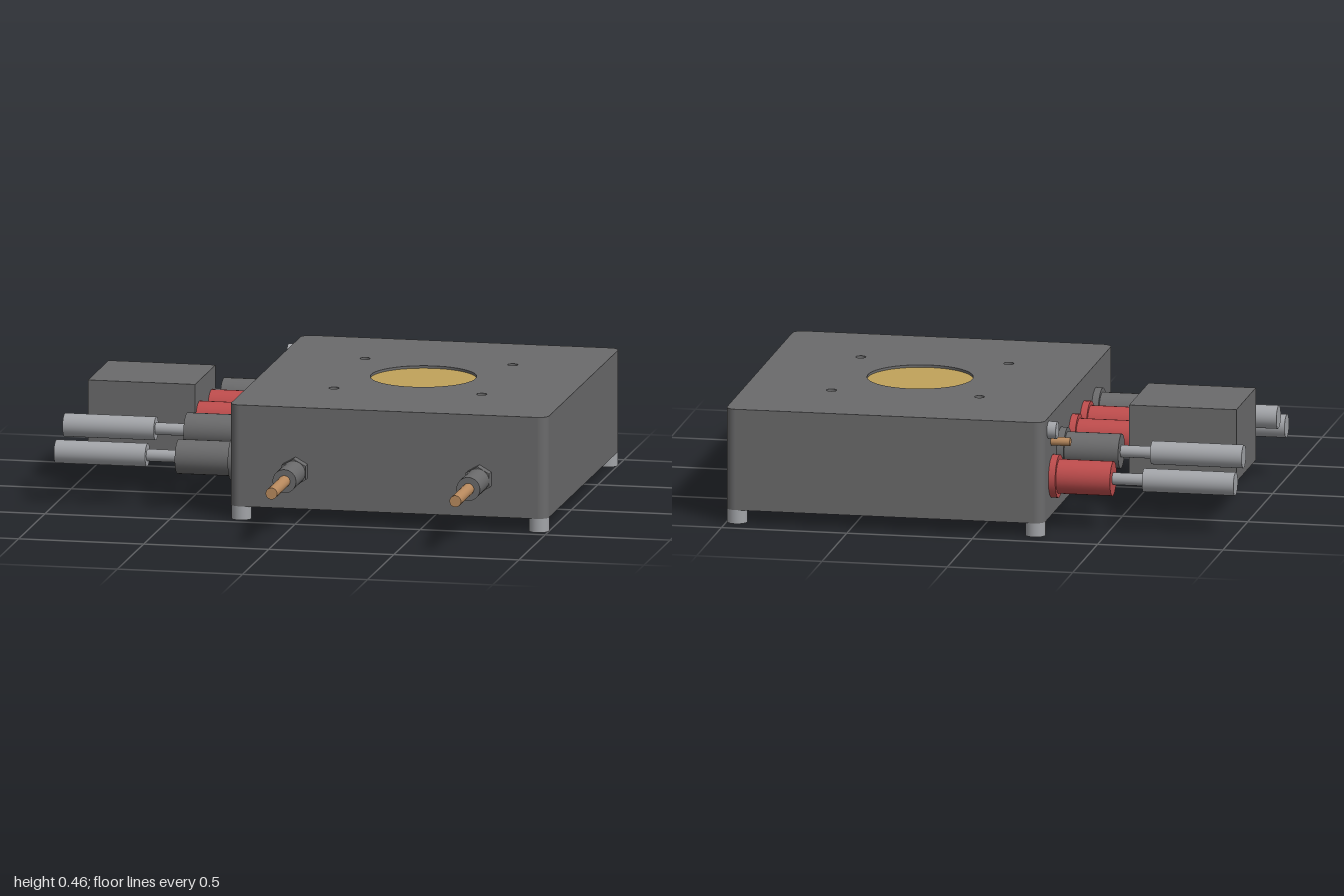
import * as THREE from 'three';

const mat = (name, color) => {
  const m = new THREE.MeshStandardMaterial({ color });
  m.name = name;
  return m;
};

export function createModel() {
  const group = new THREE.Group();
  const dark = mat('dark grey', 0x6a6a6b);
  const red = mat('red', 0xbd4c4c);
  const silver = mat('silver', 0xa2a4a8);
  const copper = mat('copper', 0xb98a5e);
  const gold = mat('gold', 0xc0a25a);

  const add = (name, geo, material, x = 0, y = 0, z = 0, parent = group) => {
    const mesh = new THREE.Mesh(geo, material);
    mesh.name = name;
    mesh.position.set(x, y, z);
    parent.add(mesh);
    return mesh;
  };
  // cylinder lying along x, from x0 to x1
  const rodX = (name, r, x0, x1, y, z, material, parent) =>
    add(name, new THREE.CylinderGeometry(r, r, x1 - x0, 32).rotateZ(Math.PI / 2), material, (x0 + x1) / 2, y, z, parent);
  // cylinder lying along z, from z0 to z1
  const rodZ = (name, r, z0, z1, x, y, material, parent, sides = 32) =>
    add(name, new THREE.CylinderGeometry(r, r, z1 - z0, sides).rotateX(Math.PI / 2), material, x, y, (z0 + z1) / 2, parent);

  // housing outline, drawn in x and -z
  const X0 = -0.27, X1 = 1, Z0 = -0.925, Z1 = 0.465, R = 0.04;
  const CX = 0.36, CZ = -0.23;
  const outline = () => {
    const s = new THREE.Shape();
    s.absarc(X1 - R, -Z0 - R, R, 0, Math.PI / 2);
    s.absarc(X0 + R, -Z0 - R, R, Math.PI / 2, Math.PI);
    s.absarc(X0 + R, -Z1 + R, R, Math.PI, Math.PI * 1.5);
    s.absarc(X1 - R, -Z1 + R, R, Math.PI * 1.5, Math.PI * 2);
    s.closePath();
    return s;
  };
  const circleHole = (x, z, r) => new THREE.Path().absarc(x, -z, r, 0, Math.PI * 2, true);
  const layer = (name, y0, y1, holes) => {
    const s = outline();
    s.holes.push(...holes);
    const geo = new THREE.ExtrudeGeometry(s, { depth: y1 - y0, bevelEnabled: false, curveSegments: 24 });
    add(name, geo.rotateX(-Math.PI / 2), dark, 0, y0, 0);
  };

  // lower walls around the rectangular cavity
  const hx = 0.555, hz = 0.325;
  const cavity = new THREE.Path([
    [-hx, -hz], [-hx, hz], [hx, hz], [hx, -hz],
  ].map(([x, z]) => new THREE.Vector2(CX + x, -CZ + z)));
  cavity.closePath();
  layer('housingWalls', 0.055, 0.36, [cavity]);
  layer('cavityCeiling', 0.36, 0.4, []);

  // top plate with a round window and four screw holes
  const topHoles = [circleHole(CX, CZ, 0.208)];
  for (const sx of [-1, 1]) for (const sz of [-1, 1])
    topHoles.push(circleHole(CX + sx * 0.295, CZ + sz * 0.295, 0.02));
  layer('topPlate', 0.4, 0.46, topHoles);
  add('goldDisc', new THREE.CylinderGeometry(0.208, 0.208, 0.05, 64), gold, CX, 0.425, CZ);

  // feet
  for (const x of [X0 + R, X1 - R]) for (const z of [Z0 + R, Z1 - R])
    add('foot', new THREE.CylinderGeometry(0.04, 0.04, 0.056, 24), silver, x, 0.028, z);

  // side sockets: z, height, colour, whether a pin plug is fitted
  for (const [z, y, material, pin] of [
    [-0.745, 0.207, red, true],
    [-0.58, 0.28, dark, true],
    [-0.345, 0.28, red, false],
    [-0.115, 0.28, red, false],
    [0.12, 0.28, dark, true],
    [0.285, 0.207, dark, true],
  ]) {
    const socket = new THREE.Group();
    socket.name = 'sideSocket';
    group.add(socket);
    rodX('flange', 0.085, -0.297, -0.268, y, z, material, socket);
    rodX('sleeve', 0.068, -0.512, -0.29, y, z, material, socket);
    if (pin) {
      rodX('pinNeck', 0.024, -0.64, -0.51, y, z, silver, socket);
      rodX('pin', 0.046, -1, -0.635, y, z, silver, socket);
    }
  }

  // block plugged into the two middle sockets
  add('plugBlock', new THREE.BoxGeometry(0.428, 0.29, 0.39), dark, -0.726, 0.285, -0.23);

  // small earth terminal at the rear of the socket side
  rodX('terminalWasher', 0.034, -0.305, -0.268, 0.41, -0.825, silver);
  rodX('terminalPin', 0.017, -0.346, -0.268, 0.352, -0.767, copper);

  // front pipe fittings
  for (const x of [-0.005, 0.73]) {
    const fitting = new THREE.Group();
    fitting.name = 'frontFitting';
    group.add(fitting);
    const nut = rodZ('nut', 0.055, 0.46, 0.507, x, 0.207, dark, fitting, 6);
    nut.geometry = nut.geometry.toNonIndexed();
    nut.geometry.computeVertexNormals();
    rodZ('sleeve', 0.047, 0.5, 0.68, x, 0.207, dark, fitting);
    rodZ('pipe', 0.023, 0.67, 0.925, x, 0.207, copper, fitting);
  }
  return group;
}
